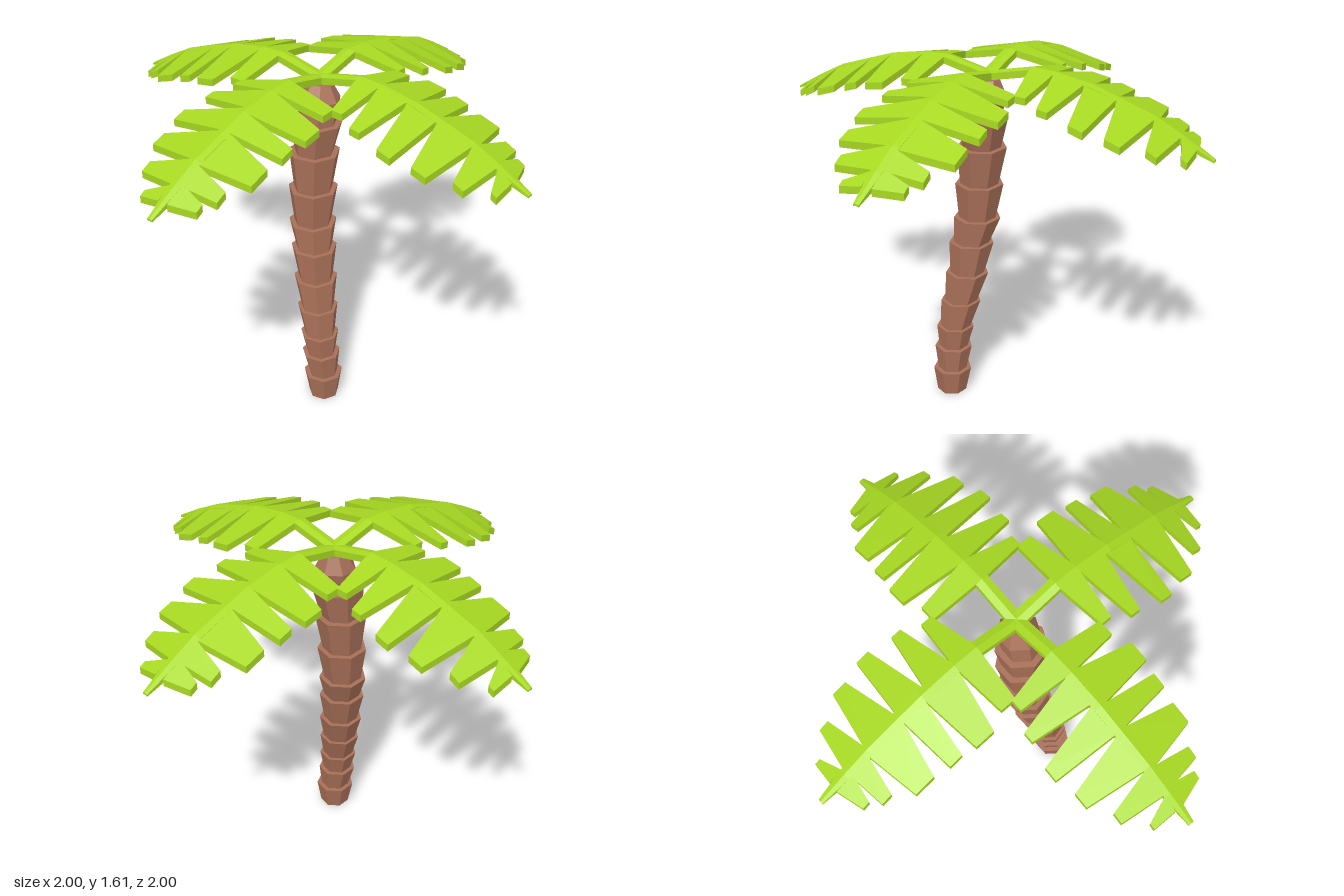
import * as THREE from 'three';

const bark = new THREE.MeshStandardMaterial({ color: 0xa87058 });
bark.name = 'bark brown';
const leaf = new THREE.MeshStandardMaterial({ color: 0xa8d922 });
leaf.name = 'leaf green';

function flatMesh(name, geometry, material) {
  const g = geometry.index ? geometry.toNonIndexed() : geometry;
  g.computeVertexNormals();
  const mesh = new THREE.Mesh(g, material);
  mesh.name = name;
  return mesh;
}

// Trunk rings: [y, x, z, radius] at the wide top of each flared segment
const RINGS = [
  [0.12, -0.13, 0.12, 0.09], [0.235, -0.13, 0.107, 0.088], [0.34, -0.125, 0.095, 0.088],
  [0.47, -0.108, 0.07, 0.093], [0.61, -0.088, 0.043, 0.099], [0.76, -0.075, 0.024, 0.103],
  [0.88, -0.056, 0.002, 0.107], [1.045, -0.047, -0.002, 0.11], [1.22, -0.036, -0.004, 0.113],
  [1.36, -0.027, 0.004, 0.113],
];

// Seven-sided tube leaning from centre a to centre b
function segment(name, a, b, rBottom, rTop) {
  const h = b[0] - a[0];
  const g = new THREE.CylinderGeometry(rTop, rBottom, h, 7, 1);
  const p = g.attributes.position;
  for (let i = 0; i < p.count; i++) {
    const t = p.getY(i) / h + 0.5;
    p.setXYZ(i, p.getX(i) + a[1] + (b[1] - a[1]) * t, a[0] + h * t, p.getZ(i) + a[2] + (b[2] - a[2]) * t);
  }
  return flatMesh(name, g, bark);
}

function buildTrunk() {
  const trunk = new THREE.Group();
  trunk.name = 'trunk';
  let previous = [0, -0.132, 0.125];
  RINGS.forEach((ring, i) => {
    trunk.add(segment('trunkSegment' + (i + 1), previous, ring, ring[3] * 0.77, ring[3]));
    previous = ring;
  });
  const neck = [1.46, -0.01, 0.004];
  trunk.add(segment('trunkNeck', previous, neck, 0.085, 0.09));
  trunk.add(segment('trunkTop', neck, [1.53, 0, 0], 0.09, 0.05));
  return trunk;
}

// Arching midrib: [distance from the hub, height]
const SPINE = [[0, 1.565], [0.2, 1.61], [0.31, 1.605], [0.475, 1.577], [0.6, 1.537],
  [0.75, 1.487], [0.87, 1.425], [1, 1.35]];

function spineY(r) {
  let i = 1;
  while (i < SPINE.length - 1 && r > SPINE[i][0]) i++;
  const [r0, y0] = SPINE[i - 1], [r1, y1] = SPINE[i];
  return y0 + (y1 - y0) * (r - r0) / (r1 - r0);
}

// Thick quad on the drooping frond surface; corners are [r, w]
function addSlab(out, corners) {
  let area = 0;
  corners.forEach(([r, w], i) => {
    const n = corners[(i + 1) % 4];
    area += r * n[1] - n[0] * w;
  });
  const c = area > 0 ? [...corners].reverse() : corners;
  const top = c.map(([r, w]) => [r, spineY(r) - 0.22 * Math.abs(w), w]);
  const bottom = top.map(([x, y, z]) => [x, y - (x > 0.95 ? 0.008 : 0.03), z]);
  const quad = (p, q, r, s) => out.push(...p, ...q, ...r, ...p, ...r, ...s);
  quad(...top);
  quad(...[...bottom].reverse());
  for (let i = 0; i < 4; i++) {
    const j = (i + 1) % 4;
    quad(top[j], top[i], bottom[i], bottom[j]);
  }
}

function slabMesh(name, slabs) {
  const out = [];
  slabs.forEach((s) => addSlab(out, s));
  const g = new THREE.BufferGeometry();
  g.setAttribute('position', new THREE.Float32BufferAttribute(out, 3));
  return flatMesh(name, g, leaf);
}

// Leaflets: [root start, root end, tip start, tip end, reach]
const RIGHT = [[0.2, 0.31, 0.235, 0.285, 0.23], [0.31, 0.445, 0.355, 0.4, 0.275],
  [0.45, 0.585, 0.5, 0.56, 0.3], [0.59, 0.75, 0.64, 0.705, 0.275],
  [0.75, 0.86, 0.785, 0.83, 0.21], [0.865, 0.93, 0.9, 0.925, 0.125]];
const LEFT = [[0.2, 0.31, 0.215, 0.285, 0.237], [0.31, 0.475, 0.355, 0.442, 0.275],
  [0.475, 0.585, 0.5, 0.56, 0.26], [0.585, 0.76, 0.627, 0.718, 0.245],
  [0.76, 0.855, 0.785, 0.833, 0.18], [0.845, 0.93, 0.865, 0.897, 0.138]];

function buildFrond() {
  const frond = new THREE.Group();
  // Midrib, folded along its centre line and narrowing to the tip
  const half = (r) => (r < 0.86 ? 0.03 : r < 0.95 ? 0.025 : 0.012);
  const rib = [];
  for (let i = 1; i < SPINE.length; i++) {
    const a = SPINE[i - 1][0], b = SPINE[i][0];
    for (const s of [-1, 1]) rib.push([[a, 0], [b, 0], [b, s * half(b)], [a, s * half(a)]]);
  }
  frond.add(slabMesh('midrib', rib));
  // Tapered leaflets on both sides
  for (const [name, list, s] of [['rightLeaflets', RIGHT, 1], ['leftLeaflets', LEFT, -1]]) {
    frond.add(slabMesh(name, list.map(([a, b, c, d, w]) => {
      const root = s * 0.022;
      return [[a, root], [b, root], [d, s * w], [c, s * w]];
    })));
  }
  return frond;
}

export function createModel() {
  const palm = new THREE.Group();
  palm.name = 'palmTree';
  palm.add(buildTrunk());
  ['leftFrond', 'backFrond', 'rightFrond', 'frontFrond'].forEach((name, i) => {
    const frond = buildFrond();
    frond.name = name;
    frond.rotation.y = i * Math.PI / 2;
    palm.add(frond);
  });
  return palm;
}
